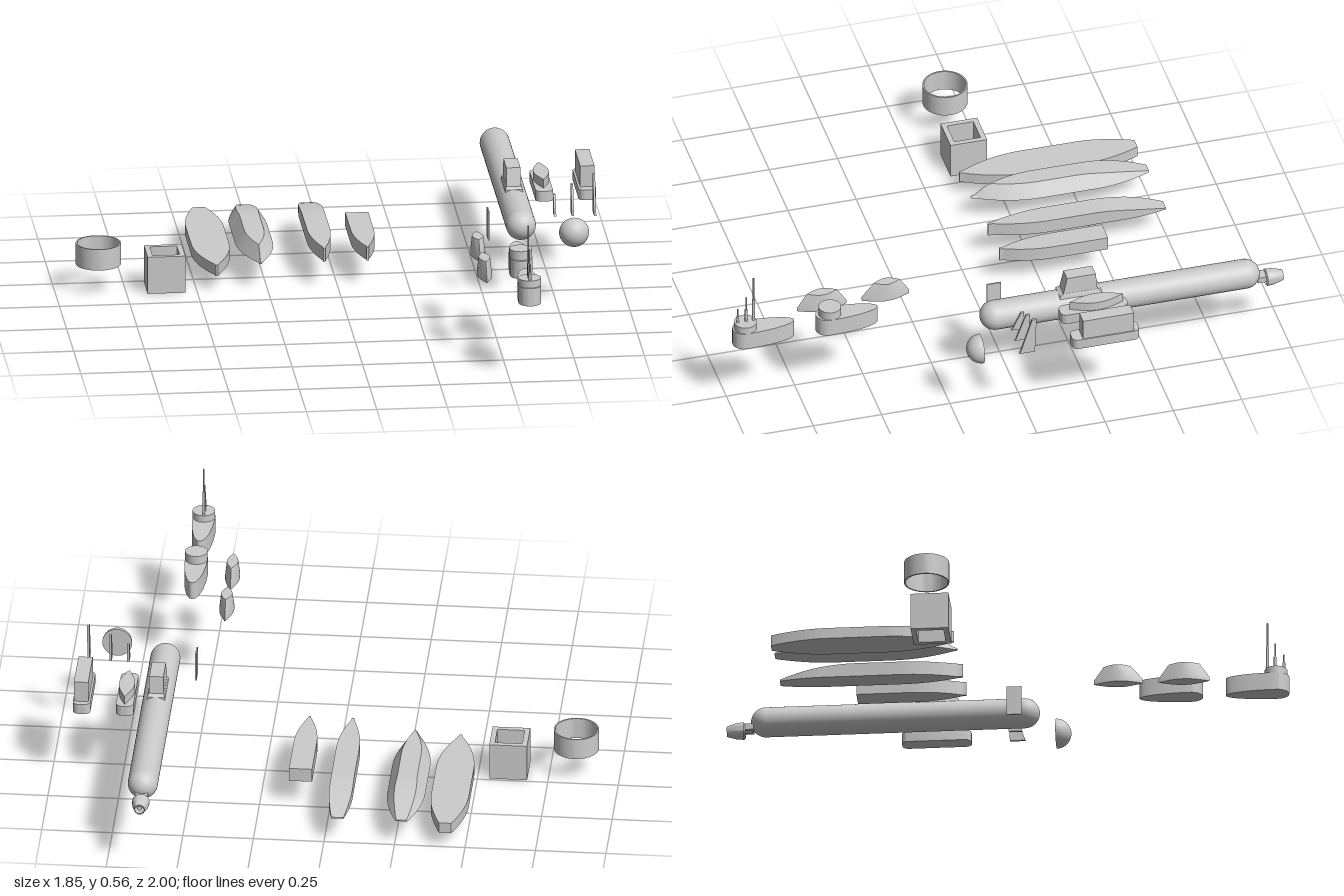
import * as THREE from 'three';
import { toCreasedNormals } from 'three/addons/utils/BufferGeometryUtils.js';

const grey = new THREE.MeshStandardMaterial({ color: 0xcccccc, side: THREE.DoubleSide });

export function createModel() {
  const model = new THREE.Group();

  const add = (name, geo, x = 0, y = 0, z = 0, parent = model) => {
    const m = new THREE.Mesh(geo, grey);
    m.name = name;
    m.position.set(x, y, z);
    parent.add(m);
    return m;
  };
  const group = (name) => {
    const g = new THREE.Group();
    g.name = name;
    model.add(g);
    return g;
  };

  // Raise a plan outline of [x, z] points to a given height
  const plan = (pts, h, hole) => {
    const v = (list) => list.map(([x, z]) => new THREE.Vector2(x, -z));
    const s = new THREE.Shape(v(pts));
    if (hole) s.holes.push(new THREE.Path(v(hole)));
    const g = new THREE.ExtrudeGeometry(s, { depth: h, bevelEnabled: false });
    return toCreasedNormals(g.rotateX(-Math.PI / 2), 0.6);
  };

  // Loft closed rings of equal length, with both ends capped
  const loft = (rings, crease = 0.5) => {
    const n = rings[0].length, idx = [];
    for (let i = 0; i < rings.length - 1; i++)
      for (let j = 0; j < n; j++) {
        const a = i * n + j, b = i * n + (j + 1) % n;
        idx.push(a, b, a + n, b, b + n, a + n);
      }
    const last = (rings.length - 1) * n;
    for (let j = 1; j < n - 1; j++) idx.push(0, j + 1, j, last, last + j, last + j + 1);
    const g = new THREE.BufferGeometry();
    g.setAttribute('position', new THREE.Float32BufferAttribute(rings.flat(2), 3));
    g.setIndex(idx);
    return toCreasedNormals(g, crease);
  };

  // Round and square collars
  const circle = (r, n = 48) => Array.from({ length: n }, (_, i) => {
    const a = (i / n) * Math.PI * 2;
    return [r * Math.cos(a), r * Math.sin(a)];
  });
  const square = (h) => [[-h, -h], [h, -h], [h, h], [-h, h]];
  add('roundCollar', plan(circle(0.08), 0.078, circle(0.0745)), -0.845, 0.098, -0.17);
  add('squareCollar', plan(square(0.067), 0.136, square(0.048)), -0.609, 0, -0.174);

  // Boat-shaped keel and deck blocks: pointed bow, tapered stern, optional sloping sides and falling deck
  const boat = ({ half, y0, h, stern = -0.755, shoulder = -0.35, waist = -0.55, falls = false, inset = 0 }) => {
    const bow = -0.108, N = 40, rings = [];
    for (let i = 0; i <= N; i++) {
      const z = stern + (bow - stern) * (i / N);
      let w = half;
      if (z > shoulder) w = half * (1 - ((z - shoulder) / (bow - shoulder)) ** 2);
      else if (z < waist) w = 0.021 + (half - 0.021) * Math.sin(Math.PI / 2 * (z - stern) / (waist - stern)) ** 0.9;
      w = Math.max(w, 0.004);
      let top = h;
      if (falls && z < -0.49) top = h * (1 - 0.9 * ((-0.49 - z) / 0.265) ** 1.8);
      if (inset) top = Math.min(top, (h * w) / inset);
      const t = Math.max(w - inset * top / h, 0.0005);
      rings.push([[-w, y0, z], [w, y0, z], [t, y0 + top, z], [-t, y0 + top, z]]);
    }
    return loft(rings);
  };
  add('lowerKeelBlock', boat({ half: 0.067, y0: 0.058, h: 0.04 }), -0.43);
  add('slopedDeckBlock', boat({ half: 0.067, y0: 0.098, h: 0.05, falls: true, inset: 0.032 }), -0.275);
  add('narrowDeckBlock', boat({ half: 0.041, y0: 0.098, h: 0.05, shoulder: -0.33, waist: -0.6, falls: true }), -0.048);
  add('shortDeckBlock', boat({ half: 0.041, y0: 0.098, h: 0.05, stern: -0.495, shoulder: -0.3, waist: -0.495 }), 0.105);

  // Submarine hull
  const sub = group('submarine');
  const R = 0.053, hx = 0.632, hy = 0.267;
  add('hull', new THREE.CapsuleGeometry(R, 0.917, 16, 48).rotateX(Math.PI / 2), hx, hy, -0.4035, sub);

  // Sail with flared foot
  const box = (w, z0, z1, y) => [[-w, y, z1], [w, y, z1], [w, y, z0], [-w, y, z0]];
  add('sailFoot', loft([box(0.033, -0.333, -0.175, 0.28), box(0.031, -0.33, -0.178, 0.32),
    box(0.027, -0.318, -0.19, 0.328)].map((r) => r)), hx, 0, 0, sub);
  add('sail', loft([box(0.027, -0.318, -0.185, 0.3), box(0.025, -0.31, -0.205, 0.393)]), hx, 0, 0, sub);

  // Ducted propeller under the stern
  const py = 0.236;
  const duct = [[0.025, -0.935], [0.031, -0.94], [0.029, -0.965], [0.019, -1], [0.016, -1], [0.025, -0.965], [0.025, -0.935]];
  add('propellerDuct', toCreasedNormals(new THREE.LatheGeometry(
    duct.map(([r, z]) => new THREE.Vector2(r, z)), 24).rotateX(Math.PI / 2), 0.6), hx, py, 0, sub);
  add('propellerHub', new THREE.CylinderGeometry(0.01, 0.008, 0.08, 16).rotateX(Math.PI / 2), hx, py, -0.95, sub);
  add('propellerBracket', new THREE.BoxGeometry(0.045, 0.022, 0.035), hx, 0.243, -0.922, sub);
  for (let i = 0; i < 5; i++) {
    const blade = new THREE.BoxGeometry(0.012, 0.018, 0.003).rotateY(0.5).translate(0, 0.015, 0);
    add('propellerBlade', blade, hx, py, -0.95, sub).rotation.z = (i / 5) * Math.PI * 2;
  }

  // Spare bow dome
  const dome = group('bowDome');
  add('domeShell', new THREE.SphereGeometry(R, 40, 16, 0, Math.PI * 2, 0, Math.PI / 2).rotateX(Math.PI / 2), 0.811, hy, 0.152, dome);
  add('domeBack', new THREE.CircleGeometry(R, 40).rotateY(Math.PI), 0.811, hy, 0.152, dome);

  // Swept fins, rising in height
  [[0.757, 0.07], [0.82, 0.105], [0.898, 0.14]].forEach(([x, h]) => {
    const s = h / 0.14, w = 0.5 + 0.5 * s;
    const fin = new THREE.Shape([[-0.036 * w, 0], [0.02 * w, 0], [0.026 * w, h], [0.01 * w, h], [-0.03 * w, 0.1 * h]]
      .map(([a, b]) => new THREE.Vector2(a, b)));
    const g = new THREE.ExtrudeGeometry(fin, { depth: 0.008, bevelEnabled: false });
    add('sweptFin', g.translate(0, 0, -0.004).rotateY(Math.PI / 2), x, 0.285, 0);
  });

  // Thin flat plate
  add('flatPlate', new THREE.BoxGeometry(0.005, 0.108, 0.052), 0.519, 0.265, 0.026);

  // Spare sails on rounded footings
  const roundedRect = (w, d, r) => {
    const pts = [];
    [[1, 1], [-1, 1], [-1, -1], [1, -1]].forEach(([sx, sz], q) => {
      for (let i = 0; i <= 6; i++) {
        const a = (q + i / 6) * Math.PI / 2;
        pts.push([sx * (w - r) + r * Math.cos(a), sz * (d - r) + r * Math.sin(a)]);
      }
    });
    return pts;
  };
  // Pointed leaf outline, repeated at any scale
  const leaf = (w, z0, z1, n = 14) => {
    const pts = [], side = (i) => [w * Math.sin(Math.PI * i / n), z0 + (z1 - z0) * i / n];
    for (let i = 0; i <= n; i++) pts.push(side(i));
    for (let i = n - 1; i > 0; i--) pts.push([-side(i)[0], side(i)[1]]);
    return pts.reverse();
  };
  const leafSail = group('leafSail'), boxSail = group('boxSail');
  [[leafSail, 0.738], [boxSail, 0.891]].forEach(([g, x]) =>
    add('sailFooting', plan(roundedRect(0.031, 0.123, 0.022), 0.038), x, 0.28, -0.278, g));
  add('leafTower', plan(leaf(0.028, -0.387, -0.192), 0.05), 0.738, 0.3, 0, leafSail);
  add('boxTower', new THREE.BoxGeometry(0.051, 0.095, 0.186), 0.893, 0.348, -0.285, boxSail);

  // Leaf-shaped fairings with raked ends
  const fairing = (z0, z1, t0, t1) => {
    const ring = (w, a, b, y) => leaf(w, a, b).map(([x, z]) => [x, y, z]);
    return loft([ring(0.026, z0, z1, 0.28), ring(0.026, z0, z1, 0.295), ring(0.02, t0, t1, 0.348)]);
  };
  add('rearFairing', fairing(0.315, 0.49, 0.35, 0.445), 0.444);
  add('frontFairing', fairing(0.545, 0.725, 0.58, 0.69), 0.444);

  // Conning towers: round front, long tapering tail
  const tearDrop = () => Array.from({ length: 48 }, (_, i) => {
    const a = (i / 48) * Math.PI * 2, s = Math.sin(a);
    return [0.04 * Math.cos(a), s * (s > 0 ? 0.042 : 0.183)];
  });
  [['plainTower', 0.65, 0.378, 0.641], ['mastTower', 0.955, 0.372, 0.95]].forEach(([name, z, top, cz]) => {
    const g = group(name);
    add('towerBody', plan(tearDrop(), 0.066), 0.573, 0.28, z, g);
    add('towerTop', new THREE.CylinderGeometry(0.04, 0.04, top - 0.34, 40), 0.573, (top + 0.34) / 2, cz - (name === 'plainTower' ? 0 : 0.0), g);
    if (name === 'mastTower')
      [[0.92, 0.555], [0.947, 0.475], [0.978, 0.43]].forEach(([mz, h]) => {
        const mid = 0.37 + (h - 0.37) * 0.5;
        add('mastBase', new THREE.CylinderGeometry(0.005, 0.005, mid - 0.36, 12), 0.571, (mid + 0.36) / 2, mz, g);
        add('mast', new THREE.CylinderGeometry(0.003, 0.003, h - 0.37, 10), 0.571, (h + 0.37) / 2, mz, g);
      });
  });

  return model;
}
